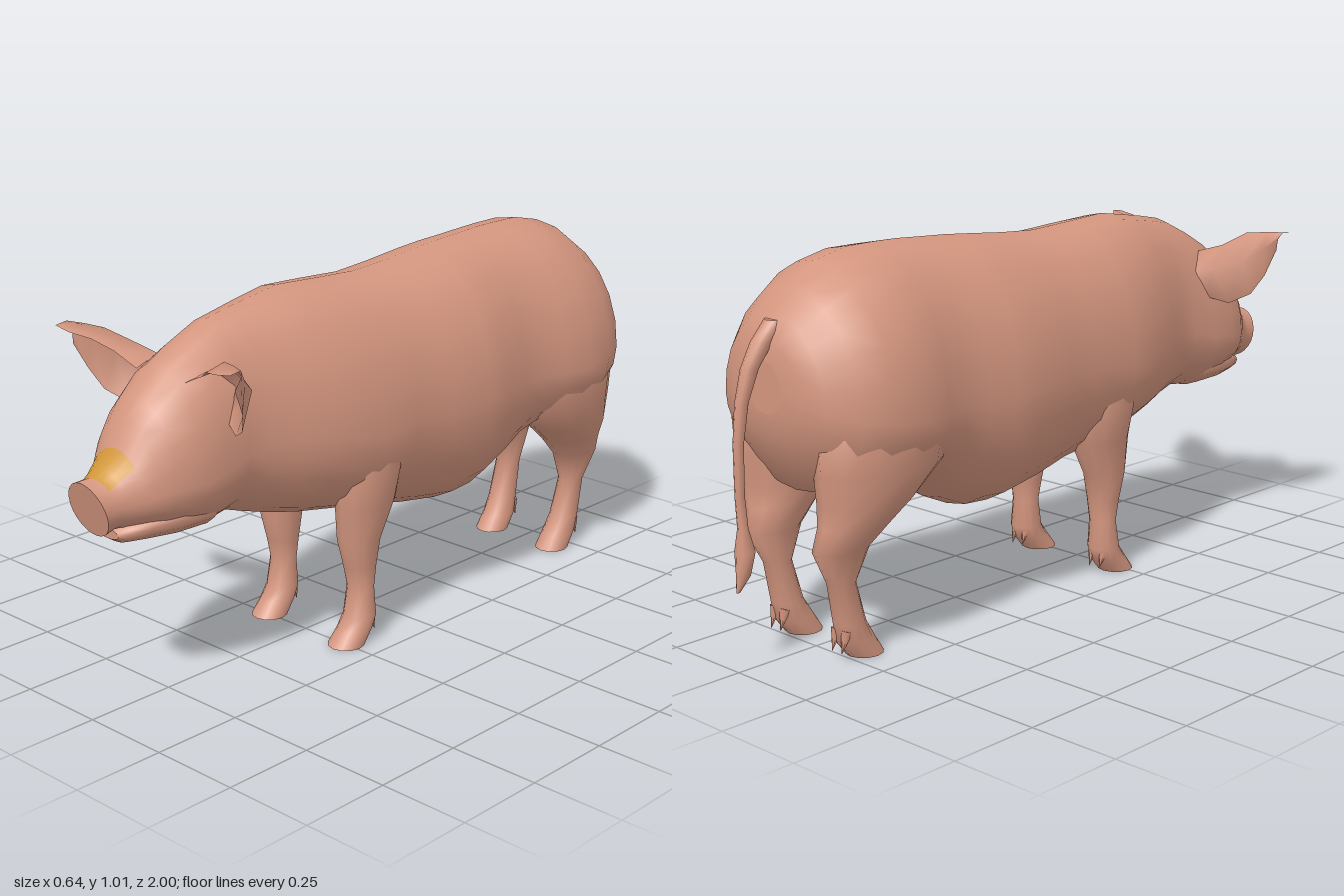
import * as THREE from 'three';

const skin = new THREE.MeshStandardMaterial({ color: 0xd4967f });
skin.name = 'pink skin';
const skinOpen = new THREE.MeshStandardMaterial({ color: 0xd4967f, side: THREE.DoubleSide });
skinOpen.name = 'pink skin, two sided';
const patch = new THREE.MeshStandardMaterial({ color: 0xd1973a });
patch.name = 'orange patch';

// Skins a list of equal-length closed rings; end caps keep a sharp rim.
// isPatch(row, column) sends a quad to the second material.
function loft(rings, isPatch = () => false) {
  const n = rings[0].length;
  const pos = [];
  const main = [];
  const extra = [];
  rings.forEach(r => r.forEach(p => pos.push(p.x, p.y, p.z)));
  for (let i = 0; i < rings.length - 1; i++) {
    for (let j = 0; j < n; j++) {
      const k = (j + 1) % n;
      const a = i * n + j, b = i * n + k, c = a + n, d = b + n;
      (isPatch(i, j) ? extra : main).push(a, c, b, b, c, d);
    }
  }
  [rings[0], rings[rings.length - 1]].forEach((ring, end) => {
    const start = pos.length / 3;
    const mid = new THREE.Vector3();
    ring.forEach(p => { pos.push(p.x, p.y, p.z); mid.addScaledVector(p, 1 / n); });
    pos.push(mid.x, mid.y, mid.z);
    for (let j = 0; j < n; j++) {
      const a = start + j, b = start + (j + 1) % n, m = start + n;
      if (end === 0) main.push(m, a, b); else main.push(m, b, a);
    }
  });
  const g = new THREE.BufferGeometry();
  g.setAttribute('position', new THREE.Float32BufferAttribute(pos, 3));
  g.setIndex([...main, ...extra]);
  g.addGroup(0, main.length, 0);
  if (extra.length) g.addGroup(main.length, extra.length, 1);
  g.computeVertexNormals();
  return g;
}

// Upright ring: z, top, widest height, bottom, half width, forward lean
function bodyRing([z, top, mid, bottom, half, lean = 0], n = 24) {
  return Array.from({ length: n }, (_, j) => {
    const t = j / n * Math.PI * 2, s = Math.sin(t);
    const dy = s * (s > 0 ? top - mid : mid - bottom);
    return new THREE.Vector3(half * Math.cos(t), mid + dy, z + lean * dy);
  });
}

// Level ring: y, centre z, half depth, centre x, half width
function legRing([y, z, rz, x, rx], side, n = 12) {
  return Array.from({ length: n }, (_, j) => {
    const t = j / n * Math.PI * 2;
    return new THREE.Vector3(side * x + rx * Math.cos(t), y, z - rz * Math.sin(t));
  });
}

const BODY = [
  [0.98, 0.63, 0.555, 0.485, 0.07, 0.28],
  [0.945, 0.63, 0.56, 0.495, 0.074, 0.2],
  [0.925, 0.65, 0.565, 0.495, 0.08, 0.1],
  [0.89, 0.69, 0.575, 0.49, 0.1],
  [0.86, 0.76, 0.585, 0.485, 0.12],
  [0.82, 0.805, 0.595, 0.475, 0.145],
  [0.75, 0.87, 0.6, 0.46, 0.165],
  [0.67, 0.915, 0.61, 0.445, 0.165],
  [0.59, 0.953, 0.63, 0.455, 0.155],
  [0.52, 0.967, 0.64, 0.43, 0.16],
  [0.44, 0.98, 0.64, 0.405, 0.19],
  [0.34, 0.995, 0.63, 0.38, 0.22],
  [0.2, 0.987, 0.61, 0.355, 0.255],
  [0.06, 0.98, 0.62, 0.325, 0.24],
  [-0.06, 0.987, 0.62, 0.298, 0.26],
  [-0.2, 1.0, 0.62, 0.275, 0.275],
  [-0.28, 1.007, 0.62, 0.28, 0.268],
  [-0.37, 1.012, 0.62, 0.32, 0.255],
  [-0.45, 1.017, 0.62, 0.375, 0.25],
  [-0.53, 1.018, 0.62, 0.415, 0.27],
  [-0.62, 1.017, 0.62, 0.41, 0.29],
  [-0.72, 0.995, 0.63, 0.41, 0.283],
  [-0.8, 0.94, 0.64, 0.43, 0.25],
  [-0.86, 0.88, 0.66, 0.52, 0.19],
  [-0.885, 0.82, 0.68, 0.59, 0.125],
  [-0.89, 0.77, 0.69, 0.64, 0.06]
];

const JAW = [
  [0.925, 0.495, 0.48, 0.468, 0.04],
  [0.905, 0.515, 0.49, 0.455, 0.068],
  [0.86, 0.53, 0.5, 0.452, 0.095],
  [0.78, 0.56, 0.51, 0.446, 0.125],
  [0.68, 0.57, 0.51, 0.442, 0.125],
  [0.6, 0.57, 0.52, 0.46, 0.09]
];

const FRONT_LEG = [
  [0.64, 0.17, 0.08, 0.14, 0.09],
  [0.5, 0.17, 0.112, 0.148, 0.09],
  [0.4, 0.17, 0.095, 0.15, 0.068],
  [0.3, 0.193, 0.063, 0.147, 0.057],
  [0.22, 0.19, 0.045, 0.147, 0.046],
  [0.16, 0.188, 0.034, 0.148, 0.04],
  [0.08, 0.192, 0.045, 0.149, 0.046],
  [0.045, 0.212, 0.052, 0.149, 0.046],
  [0.005, 0.245, 0.05, 0.148, 0.05]
];

const HIND_LEG = [
  [0.75, -0.63, 0.15, 0.14, 0.11],
  [0.6, -0.65, 0.205, 0.15, 0.128],
  [0.5, -0.655, 0.195, 0.15, 0.117],
  [0.42, -0.7, 0.14, 0.148, 0.1],
  [0.36, -0.735, 0.102, 0.14, 0.077],
  [0.3, -0.773, 0.082, 0.13, 0.055],
  [0.21, -0.768, 0.038, 0.122, 0.036],
  [0.1, -0.742, 0.043, 0.12, 0.041],
  [0.05, -0.722, 0.055, 0.117, 0.044],
  [0.005, -0.69, 0.05, 0.117, 0.048]
];

// Cupped ear, rows run from the head to the tip, each from front edge round the back to the lower edge
const EAR = [
  [[0.09, 0.84, 0.74], [0.1, 0.86, 0.66], [0.13, 0.81, 0.61], [0.14, 0.73, 0.65]],
  [[0.16, 0.872, 0.75], [0.17, 0.882, 0.68], [0.19, 0.82, 0.62], [0.2, 0.715, 0.68]],
  [[0.21, 0.9, 0.78], [0.22, 0.918, 0.73], [0.25, 0.84, 0.67], [0.255, 0.745, 0.71]],
  [[0.27, 0.912, 0.805], [0.275, 0.923, 0.75], [0.285, 0.88, 0.725], [0.285, 0.8, 0.735]],
  [[0.32, 0.92, 0.805], [0.32, 0.925, 0.77], [0.31, 0.905, 0.76], [0.298, 0.87, 0.77]]
];

function earGeometry(side) {
  const pos = [], index = [];
  EAR.flat().forEach(([x, y, z]) => pos.push(side * x, y, z));
  for (let i = 0; i < EAR.length - 1; i++) {
    for (let j = 0; j < 3; j++) {
      const a = i * 4 + j, b = a + 1, c = a + 4, d = a + 5;
      if (side > 0) index.push(a, c, b, b, c, d);
      else index.push(a, b, c, b, d, c);
    }
  }
  const g = new THREE.BufferGeometry();
  g.setAttribute('position', new THREE.Float32BufferAttribute(pos, 3));
  g.setIndex(index);
  g.computeVertexNormals();
  return g;
}

export function createModel() {
  const pig = new THREE.Group();
  pig.name = 'pig';
  const add = (name, geometry, material = skin) => {
    const mesh = new THREE.Mesh(geometry, material);
    mesh.name = name;
    pig.add(mesh);
    return mesh;
  };

  // Snout, head and trunk in one skin, with the patch on the bridge of the snout
  const onBridge = (i, j) => (i === 1 || i === 2) && j >= 3 && j <= 8;
  add('body', loft(BODY.map(s => bodyRing(s)), onBridge), [skin, patch]);
  add('lowerJaw', loft(JAW.map(s => bodyRing(s, 16))));

  for (const [label, side] of [['left', 1], ['right', -1]]) {
    add(label + 'Ear', earGeometry(side), skinOpen);
    add(label + 'FrontLeg', loft(FRONT_LEG.map(s => legRing(s, side))));
    add(label + 'HindLeg', loft(HIND_LEG.map(s => legRing(s, side))));
    // Dewclaws behind the feet
    for (const [x, z] of [[0.13, 0.163], [0.168, 0.163], [0.1, -0.775], [0.136, -0.775]]) {
      const claw = add(label + 'Dewclaw', new THREE.ConeGeometry(0.016, 0.06, 6));
      claw.position.set(side * x, 0.055, z);
      claw.rotation.x = Math.PI + 0.3;
    }
  }

  // Hanging tail with a thicker tuft: y, centre z, half depth, centre x, half width
  add('tail', loft([
    [0.87, -0.85, 0.03, 0, 0.026],
    [0.82, -0.895, 0.032, 0, 0.024],
    [0.76, -0.935, 0.025, 0, 0.02],
    [0.68, -0.963, 0.018, 0, 0.016],
    [0.58, -0.977, 0.014, 0, 0.013],
    [0.45, -0.978, 0.013, 0, 0.012],
    [0.37, -0.972, 0.014, 0, 0.013],
    [0.31, -0.968, 0.026, 0, 0.026],
    [0.25, -0.975, 0.02, 0, 0.016],
    [0.21, -0.993, 0.006, 0, 0.003]
  ].map(s => legRing(s, 1, 8))));

  return pig;
}
